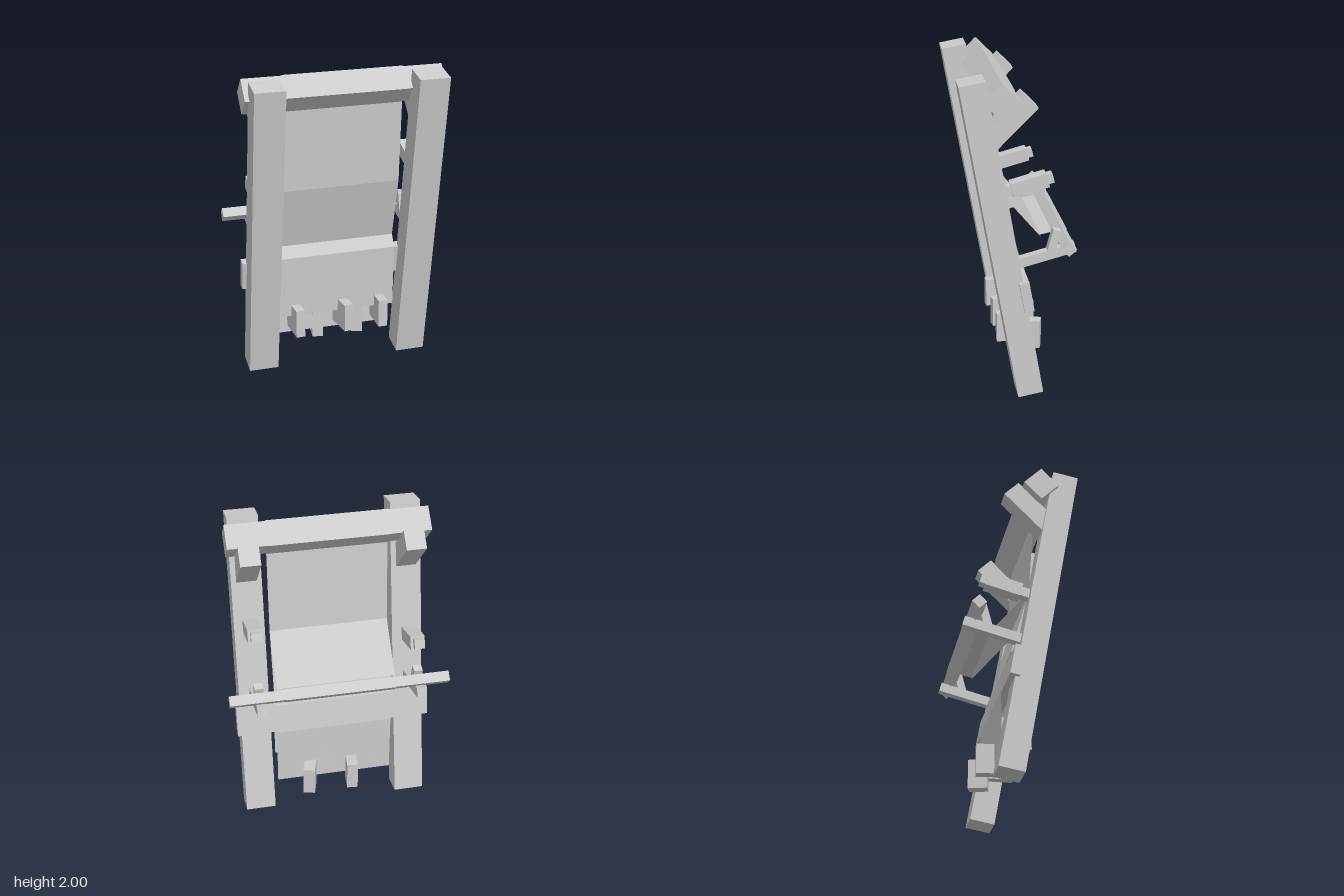
import * as THREE from 'three';

const material = new THREE.MeshStandardMaterial({ color: 0xcccccc, flatShading: true });
const clothMaterial = new THREE.MeshStandardMaterial({ color: 0xcccccc, flatShading: true, side: THREE.DoubleSide });
const LEAN = 0.174; // forward lean of the frame

// Box with centre, size and rotation about x (tilt) and y (yaw)
function box(parent, name, [w, h, d], [x, y, z], tilt = 0, yaw = 0) {
  const mesh = new THREE.Mesh(new THREE.BoxGeometry(w, h, d), material);
  mesh.name = name;
  mesh.position.set(x, y, z);
  mesh.rotation.set(tilt, yaw, 0);
  parent.add(mesh);
}

// Thin cloth strip following a path of [z, y], w being half its width
function strip(parent, name, w, path) {
  const positions = [];
  const index = [];
  path.forEach(([z, y], i) => {
    positions.push(-w, y, z, w, y, z);
    if (i > 0) {
      const a = 2 * i - 2;
      index.push(a, a + 2, a + 1, a + 1, a + 2, a + 3);
    }
  });
  const indexed = new THREE.BufferGeometry();
  indexed.setAttribute('position', new THREE.Float32BufferAttribute(positions, 3));
  indexed.setIndex(index);
  const geometry = indexed.toNonIndexed();
  geometry.computeVertexNormals();
  const mesh = new THREE.Mesh(geometry, clothMaterial);
  mesh.name = name;
  parent.add(mesh);
}

// Loop of cloth around a diamond-shaped rail section
function sleeve(parent, name, z, y, r, w) {
  strip(parent, name, w, [[z, y - r], [z + r, y], [z, y + r], [z - r, y], [z, y - r]]);
}

export function createModel() {
  const model = new THREE.Group();

  // Leaning posts with their brackets
  for (const side of [-1, 1]) {
    const x = 0.5 * side;
    box(model, 'post', [0.19, 2.0, 0.157], [x, 1.0, 0.105], LEAN);
    box(model, 'topBrace', [0.125, 0.127, 0.34], [x, 1.75, 0.059], Math.PI / 4);
    box(model, 'barArm', [0.055, 0.06, 0.44], [x, 0.893, -0.13], 0.25);
    box(model, 'barStop', [0.055, 0.16, 0.05], [x, 0.983, -0.211], -0.26);
  }

  // Grips, set at different heights on the two posts
  for (const [x, y, z] of [[0.5, 1.355, -0.064], [-0.5, 1.203, -0.103]]) {
    const grip = new THREE.Group();
    grip.name = 'grip';
    grip.position.set(x, y, z);
    grip.rotation.x = 0.26;
    box(grip, 'gripShaft', [0.057, 0.06, 0.37], [0, 0, 0.04]);
    box(grip, 'gripBlock', [0.09, 0.085, 0.22], [0, 0, 0]);
    model.add(grip);
  }

  // Cross rails
  box(model, 'topBeam', [1.245, 0.154, 0.154], [0, 1.887, 0.116], Math.PI / 4);
  box(model, 'seatBar', [1.375, 0.063, 0.063], [0, 0.998, -0.275], Math.PI / 4);
  box(model, 'lowerRail', [1.245, 0.19, 0.06], [0, 0.677, -0.037], LEAN);

  // Backrest hung from the beam, running down to the front of the lower rail
  sleeve(model, 'beamSleeve', 0.116, 1.887, 0.113, 0.375);
  strip(model, 'frontCloth', 0.375, [
    [0.116, 1.774], [0.08, 1.25], [-0.03, 0.84], [0.02, 0.77], [0.0, 0.357],
  ]);

  // Seat sling reaching back to the bar
  strip(model, 'seatCloth', 0.375, [[0.08, 1.25], [-0.155, 0.97]]);
  strip(model, 'seatLink', 0.345, [[-0.155, 0.97], [-0.232, 0.985]]);
  sleeve(model, 'barSleeve', -0.275, 0.998, 0.049, 0.345);

  // Layer falling behind the lower rail
  strip(model, 'rearCloth', 0.374, [[-0.03, 0.84], [-0.057, 0.775], [-0.091, 0.585], [-0.088, 0.2]]);

  // Pegs along the bottom of the cloth: x, width, yaw
  for (const [x, w, yaw] of [[-0.282, 0.058, 0.08], [0.032, 0.06, 0.16], [0.278, 0.06, 0]]) {
    box(model, 'frontPeg', [w, 0.185, 0.19], [x, 0.342, 0.008], 0, yaw);
  }
  for (const [x, w, yaw] of [[-0.108, 0.07, -0.1], [0.17, 0.075, -0.28]]) {
    box(model, 'backPeg', [w, 0.185, 0.12], [x, 0.235, -0.135], 0, yaw);
  }

  return model;
}
